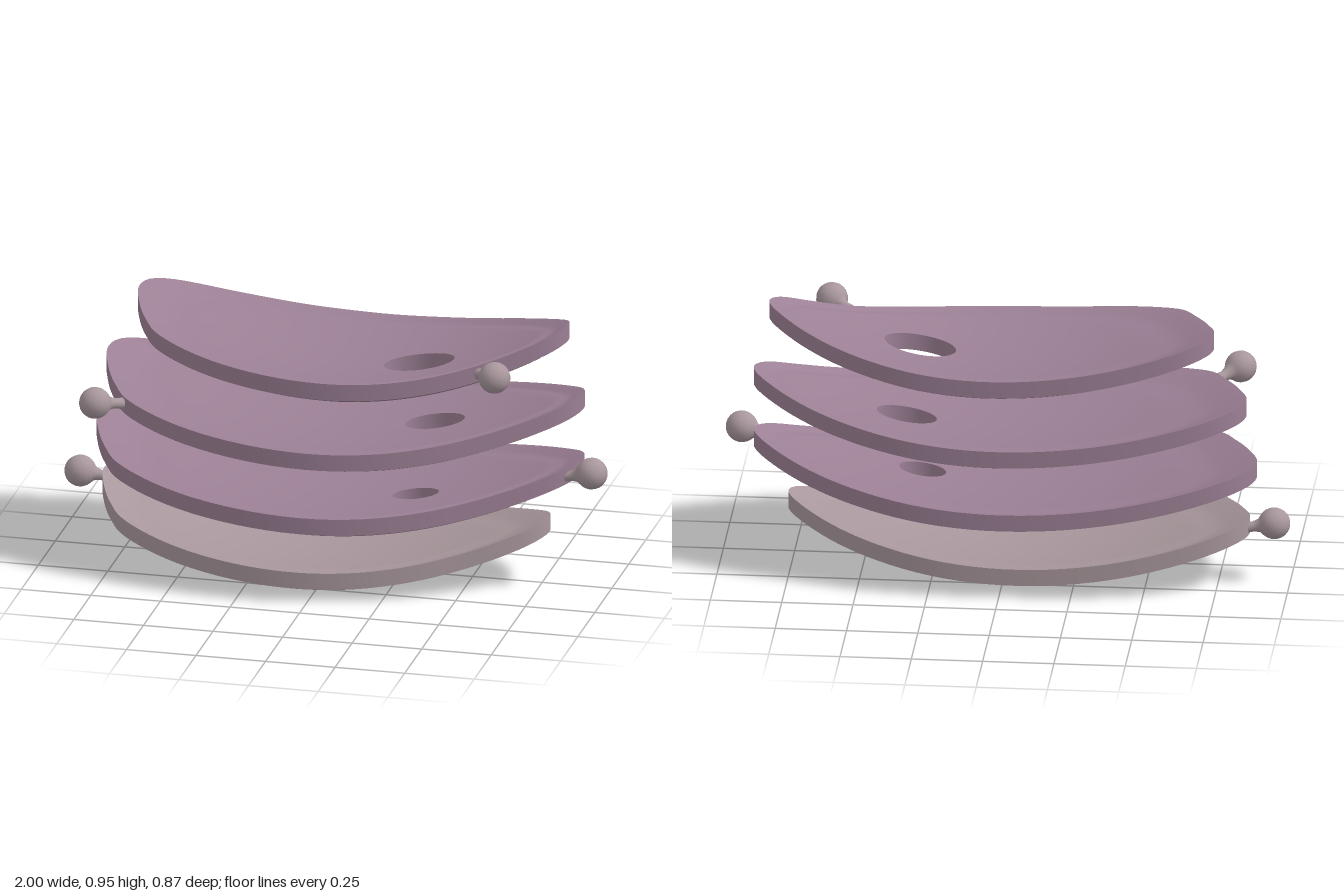
import * as THREE from 'three';

const mauve = new THREE.MeshStandardMaterial({ color: 0x9c8095 });
mauve.name = 'mauve';
const paleGrey = new THREE.MeshStandardMaterial({ color: 0xa8979c });
paleGrey.name = 'pale grey';

// Shared plate outline (x, z), normalised to roughly -1..1
const OUTLINE = [
  [-0.885, -0.16], [-0.85, -0.26], [-0.74, -0.335], [-0.5, -0.4], [-0.25, -0.43], [0, -0.437],
  [0.3, -0.405], [0.6, -0.305], [0.8, -0.17], [0.884, -0.06], [0.85, 0.05], [0.74, 0.135],
  [0.6, 0.215], [0.4, 0.325], [0.2, 0.4], [0, 0.433], [-0.25, 0.42], [-0.5, 0.365],
  [-0.71, 0.25], [-0.79, 0.13], [-0.85, -0.01],
];
const SEG = 96;
const RINGS = 20;
const THICK = 0.06;
const outline = new THREE.CatmullRomCurve3(
  OUTLINE.map(([x, z]) => new THREE.Vector3(x / 0.887, 0, z / 0.435)), true, 'centripetal',
).getSpacedPoints(SEG).slice(0, SEG);

// Each plate: extents, height, rise of the left and right tips, optional hole
const PLATES = [
  { name: 'basePlate', mat: paleGrey, cx: -0.045, hx: 0.815, cz: 0.002, hz: 0.383, y: 0, left: 0.172, right: 0.18 },
  { name: 'lowerPlate', mat: mauve, cx: 0.002, hx: 0.888, cz: 0, hz: 0.435, y: 0.223, left: 0.163, right: 0.187, hole: [0.305, 0.04, 0.082, 0.06] },
  { name: 'middlePlate', mat: mauve, cx: 0.02, hx: 0.87, cz: -0.007, hz: 0.422, y: 0.457, left: 0.16, right: 0.187, hole: [0.352, -0.055, 0.105, 0.075] },
  { name: 'topPlate', mat: mauve, cx: 0.05, hx: 0.785, cz: -0.013, hz: 0.369, y: 0.7, left: 0.158, right: 0.194, hole: [0.31, 0.007, 0.125, 0.09] },
];

// Dished plate: rings run from the hole (or centre) to the outline, on both faces, joined by walls
function plateGeometry(p) {
  const [ox, oz, rx, rz] = p.hole || [p.cx, p.cz, 0.001, 0.001];
  const ring = (t, lift) => outline.map((o) => {
    const ex = p.cx + o.x * p.hx;
    const ez = p.cz + o.z * p.hz;
    const a = Math.atan2((ez - oz) / rz, (ex - ox) / rx);
    const x = THREE.MathUtils.lerp(ox + rx * Math.cos(a), ex, t);
    const z = THREE.MathUtils.lerp(oz + rz * Math.sin(a), ez, t);
    const u = (x - p.cx) / p.hx;
    const v = (z - p.cz) / p.hz;
    const groove = 0.008 * Math.exp(-(((t - 0.87) / 0.06) ** 2));
    return [x, p.y + (u > 0 ? p.right : p.left) * u * u + 0.045 * v * v - groove + lift, z];
  });
  const steps = Array.from({ length: RINGS + 1 }, (_, i) => i / RINGS);
  const strips = [
    steps.map((t) => ring(t, THICK)), // upper face
    [ring(1, THICK), ring(1, 0)], // rim
    steps.map((t) => ring(1 - t, 0)), // underside
  ];
  if (p.hole) strips.push([ring(0, 0), ring(0, THICK)]); // hole wall

  const pos = [];
  const index = [];
  for (const rows of strips) {
    const start = pos.length / 3;
    rows.forEach((row) => row.forEach((q) => pos.push(...q)));
    for (let j = 0; j < rows.length - 1; j++) {
      for (let i = 0; i < SEG; i++) {
        const k = (i + 1) % SEG;
        const a = start + j * SEG + i;
        const b = start + j * SEG + k;
        index.push(a, b, a + SEG, b, b + SEG, a + SEG);
      }
    }
  }
  const g = new THREE.BufferGeometry();
  g.setAttribute('position', new THREE.Float32BufferAttribute(pos, 3));
  g.setIndex(index);
  g.computeVertexNormals();
  return g;
}

// Ball-ended knob turned around the line from the rim to the ball centre
function knob(name, from, to) {
  const start = new THREE.Vector3(...from);
  const dir = new THREE.Vector3(...to).sub(start);
  const len = dir.length();
  const r = 0.056;
  const profile = [[0.02, 0], [0.018, len * 0.3], [0.024, len * 0.5], [0.036, len - 0.043]];
  for (let i = 0; i <= 10; i++) {
    const a = THREE.MathUtils.lerp(-0.87, Math.PI / 2, i / 10);
    profile.push([Math.max(r * Math.cos(a), 0), len + r * Math.sin(a)]);
  }
  const g = new THREE.LatheGeometry(profile.map(([x, y]) => new THREE.Vector2(x, y)), 18);
  const mesh = new THREE.Mesh(g, paleGrey);
  mesh.name = name;
  mesh.position.copy(start);
  mesh.quaternion.setFromUnitVectors(new THREE.Vector3(0, 1, 0), dir.normalize());
  return mesh;
}

export function createModel() {
  const model = new THREE.Group();
  model.name = 'stackedPlates';
  for (const p of PLATES) {
    const mesh = new THREE.Mesh(plateGeometry(p), p.mat);
    mesh.name = p.name;
    model.add(mesh);
  }
  model.add(
    knob('baseKnob', [-0.84, 0.2, -0.148], [-0.944, 0.217, -0.14]),
    knob('lowerKnob', [0.835, 0.415, 0.04], [0.94, 0.44, 0.05]),
    knob('middleKnob', [-0.71, 0.612, 0.205], [-0.788, 0.635, 0.283]),
    knob('topKnob', [0.57, 0.83, 0.195], [0.643, 0.848, 0.265]),
  );
  return model;
}
